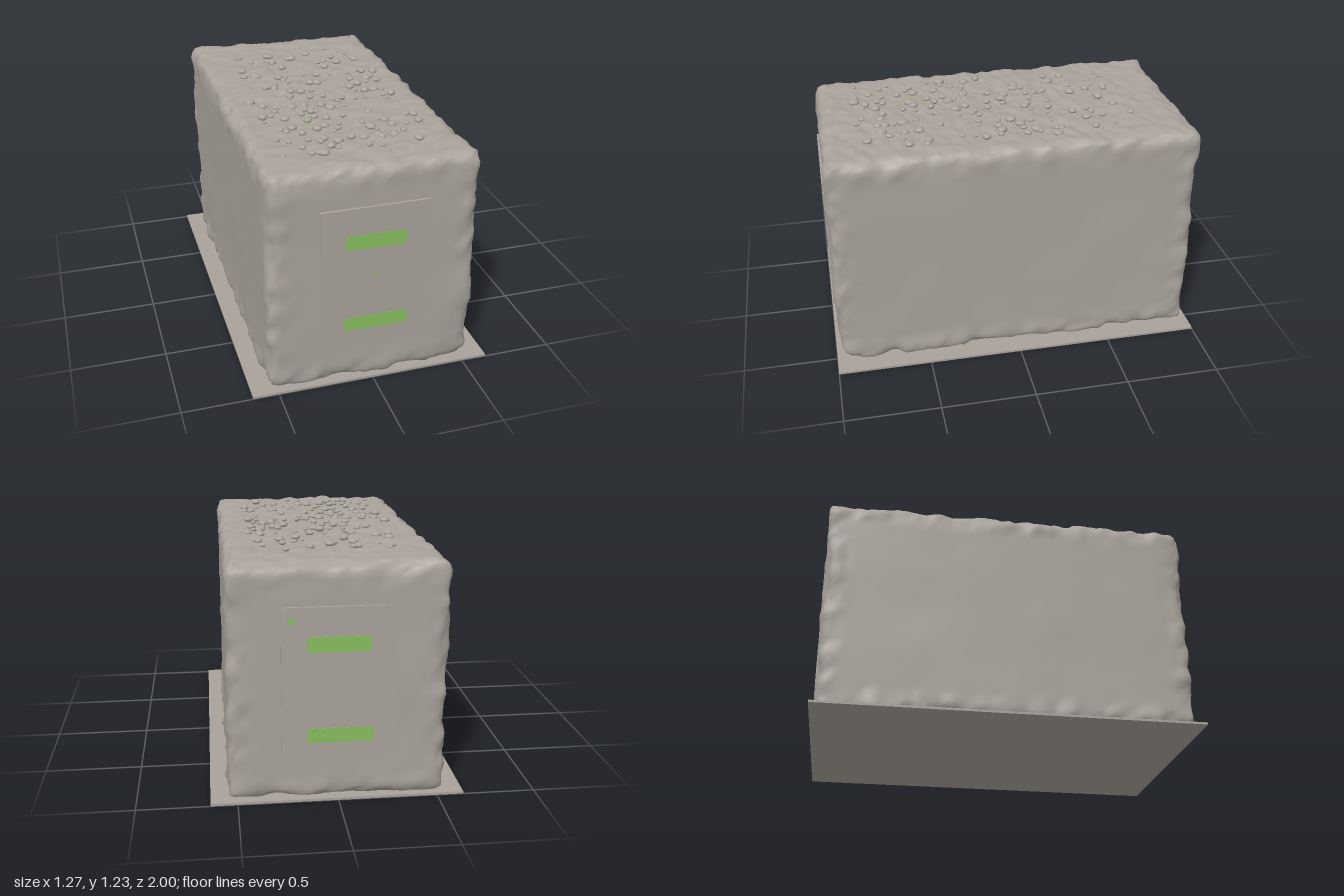
import * as THREE from 'three';
import { mergeGeometries, mergeVertices } from 'three/addons/utils/BufferGeometryUtils.js';

const stone = new THREE.MeshStandardMaterial({ color: 0xa8a29a });
stone.name = 'warm grey stone';
const green = new THREE.MeshStandardMaterial({ color: 0x87bd5c });
green.name = 'label green';

// Seeded random numbers and smooth 3D value noise in -1..1
let seed = 11;
const rand = () => (seed = (seed * 16807) % 2147483647) / 2147483647;
function hash(x, y, z) {
  const s = Math.sin(x * 127.1 + y * 311.7 + z * 74.7) * 43758.5453;
  return (s - Math.floor(s)) * 2 - 1;
}
function noise(x, y, z) {
  const i = [x, y, z].map(Math.floor);
  const [u, v, w] = [x - i[0], y - i[1], z - i[2]].map((t) => t * t * (3 - 2 * t));
  let sum = 0;
  for (let a = 0; a < 2; a++) for (let b = 0; b < 2; b++) for (let c = 0; c < 2; c++) {
    sum += hash(i[0] + a, i[1] + b, i[2] + c) * (a ? u : 1 - u) * (b ? v : 1 - v) * (c ? w : 1 - w);
  }
  return sum;
}

// Weathered block: a fine box with uneven rounded edges and a rough top
function blockGeometry() {
  const half = new THREE.Vector3(0.54, 0.596, 0.978);
  let geo = new THREE.BoxGeometry(half.x * 2, half.y * 2, half.z * 2, 50, 46, 90);
  geo.deleteAttribute('normal');
  geo.deleteAttribute('uv');
  geo = mergeVertices(geo);
  const pos = geo.attributes.position;
  const p = new THREE.Vector3(), q = new THREE.Vector3(), d = new THREE.Vector3();
  for (let i = 0; i < pos.count; i++) {
    p.fromBufferAttribute(pos, i);
    const { x, y, z } = p;
    const top = y > half.y - 0.001;
    const r = 0.06 + 0.03 * noise(x * 6, y * 6, z * 6);
    q.set(r, r, r).negate().add(half);
    q.set(...['x', 'y', 'z'].map((k) => THREE.MathUtils.clamp(p[k], -q[k], q[k])));
    d.subVectors(p, q).normalize();
    p.copy(q).addScaledVector(d, r);

    // Edges are chipped more strongly than the flat walls
    const gaps = [half.x - Math.abs(x), half.y - Math.abs(y), half.z - Math.abs(z)].sort((a, b) => a - b);
    const edge = Math.max(0, 1 - gaps[1] / 0.14);
    const chip = noise(x * 13 + 5, y * 13, z * 13) * 0.016 + noise(x * 30, y * 30, z * 30) * 0.006;
    const wall = noise(x * 4, y * 4 + 9, z * 4) * 0.004;
    p.addScaledVector(d, wall + chip * edge);

    // Trowelled ridges on the top, a slight flare at the foot
    if (top) p.y += (noise(x * 14, 2, z * 34) * 0.008 + noise(x * 36, 7, z * 36) * 0.006) * (1 - edge * 0.5);
    p.x *= 1 + 0.025 * Math.max(0, 1 - (y + half.y) / 0.12);
    p.z = THREE.MathUtils.clamp(p.z, -0.99, 0.99);
    pos.setXYZ(i, p.x, Math.max(p.y + 0.606, 0.008), p.z);
  }
  geo.computeVertexNormals();
  return geo;
}

// Small lumps scattered over the top in rough rows
function pebbleGeometry() {
  const parts = [];
  for (let i = 0; i < 150; i++) {
    const s = 0.009 + 0.014 * rand();
    const g = new THREE.IcosahedronGeometry(s, 1);
    g.scale(1 + 0.5 * rand(), 0.75, 1 + 0.4 * rand());
    g.rotateY(rand() * 6);
    const row = -0.65 + Math.floor(rand() * 15) * 0.1;
    g.translate((rand() - 0.5) * 0.8, 1.205 + rand() * 0.008, row + (rand() - 0.5) * 0.07);
    parts.push(g);
  }
  return mergeGeometries(parts);
}

function roundedPlate(w, h, r, depth) {
  const x = w / 2, y = h / 2;
  const s = new THREE.Shape();
  s.moveTo(-x + r, -y).lineTo(x - r, -y).quadraticCurveTo(x, -y, x, -y + r)
    .lineTo(x, y - r).quadraticCurveTo(x, y, x - r, y)
    .lineTo(-x + r, y).quadraticCurveTo(-x, y, -x, y - r)
    .lineTo(-x, -y + r).quadraticCurveTo(-x, -y, -x + r, -y);
  return new THREE.ExtrudeGeometry(s, { depth, bevelEnabled: false, curveSegments: 5 });
}

function add(parent, name, geo, mat, x = 0, y = 0, z = 0) {
  const m = new THREE.Mesh(geo, mat);
  m.name = name;
  m.position.set(x, y, z);
  parent.add(m);
  return m;
}

// End panel with two green strips and a small dot
function endPanel(name, corner, dotX, dotY, dotR) {
  const g = new THREE.Group();
  g.name = name;
  add(g, 'panel', roundedPlate(0.56, 0.785, corner, 0.04), stone, 0, 0.605, 0.951);
  add(g, 'upperStrip', roundedPlate(0.31, 0.078, 0.022, 0.003), green, 0, 0.812, 0.99);
  add(g, 'lowerStrip', roundedPlate(0.33, 0.074, 0.025, 0.003), green, 0.007, 0.348, 0.99);
  add(g, 'dot', new THREE.CircleGeometry(dotR, 10), green, dotX, dotY, 0.993);
  return g;
}

export function createModel() {
  const model = new THREE.Group();
  model.name = 'stoneBlock';
  add(model, 'basePlate', new THREE.BoxGeometry(1.27, 0.012, 2), stone, 0, 0.006, 0);
  add(model, 'block', blockGeometry(), stone);
  add(model, 'topPebbles', pebbleGeometry(), stone);

  const front = endPanel('frontPanel', 0.008, 0.01, 0.62, 0.009);
  const back = endPanel('backPanel', 0.03, -0.23, 0.93, 0.018);
  back.rotation.y = Math.PI;
  model.add(front, back);

  // Green fleck on the top
  const fleck = add(model, 'topFleck', new THREE.CircleGeometry(0.014, 8), green, -0.18, 1.222, 0.45);
  fleck.rotation.x = -Math.PI / 2;
  return model;
}
